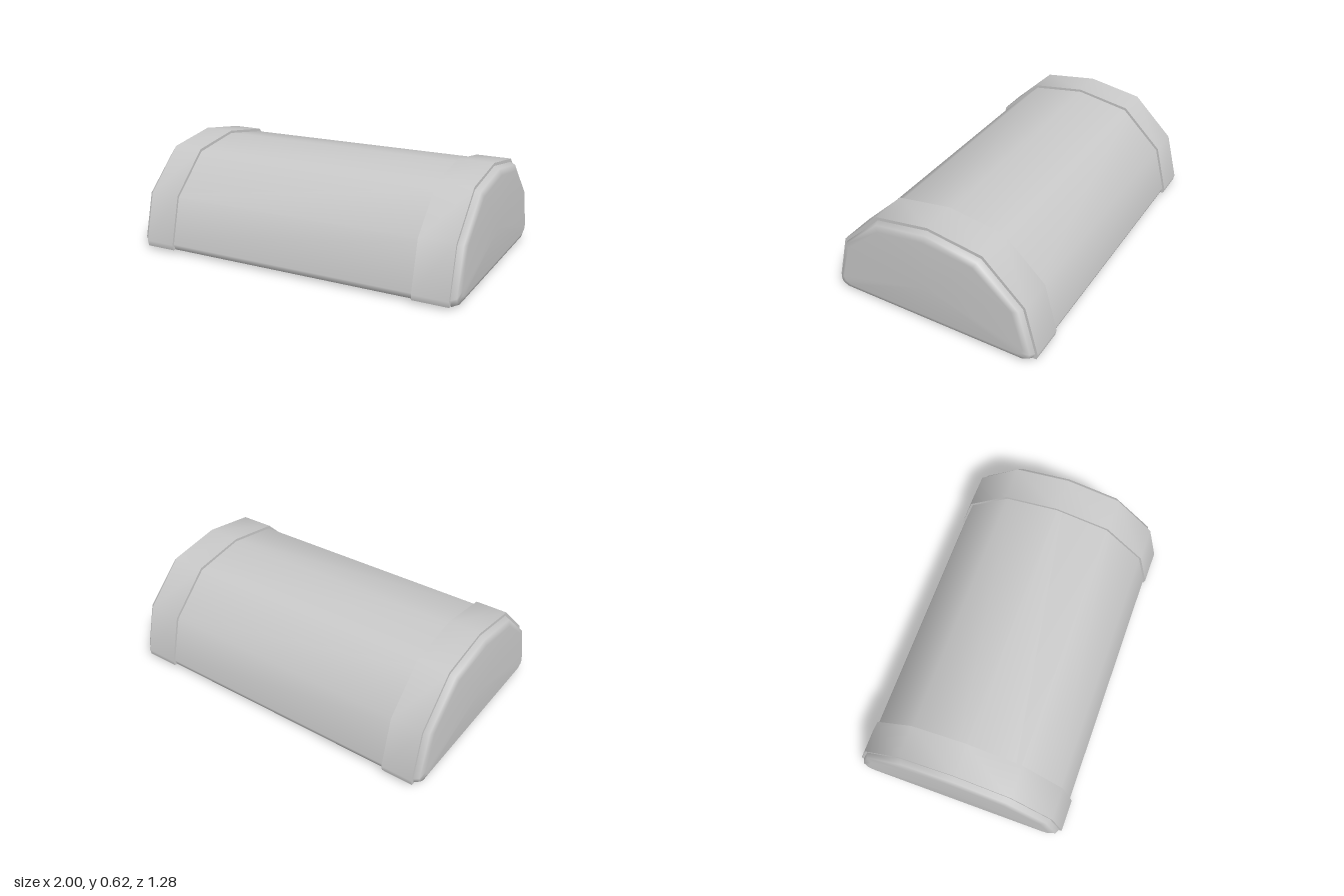
import * as THREE from 'three';
import { mergeVertices } from 'three/addons/utils/BufferGeometryUtils.js';

const HEIGHT = 0.6, HALF_DEPTH = 0.626;

// Mirror a half profile of [z, y] points, ending at the ridge, to the other side
const mirror = half => [...half, ...half.slice(0, -1).reverse().map(([z, y]) => [-z, y])];

const outer = mirror([[0.58, 0], [0.615, 0.018], [HALF_DEPTH, 0.05], [0.556, 0.322], [0.318, 0.549], [0, HEIGHT]]);
const inner = mirror([[0.505, 0], [0.435, 0.295], [0.275, 0.467], [0, 0.51]]);
const strap = mirror([[0.632, 0.016], [0.64, 0.05], [0.567, 0.332], [0.325, 0.565], [0, 0.615]]);
const strapInner = mirror([[0.61, 0.016], [0.62, 0.05], [0.55, 0.32], [0.315, 0.545], [0, 0.594]]);

// Cross-section at x, pulled in by k on every side
const section = (x, k) => outer.map(([z, y]) =>
  [x, k + y * (HEIGHT - 2 * k) / HEIGHT, z * (1 - k / HALF_DEPTH)]);

const quad = (out, a, b, c, d) => out.push(...a, ...b, ...c, ...a, ...c, ...d);

function smooth(positions) {
  const g = new THREE.BufferGeometry();
  g.setAttribute('position', new THREE.Float32BufferAttribute(positions, 3));
  const merged = mergeVertices(g);
  merged.computeVertexNormals();
  return merged;
}

// Outer skin: rounded ends, arched top and the flat rim around the opening
function skinGeometry() {
  const out = [];
  const rings = [[-1, 0.05], [-0.985, 0.015], [-0.95, 0], [0.95, 0], [0.985, 0.015], [1, 0.05]]
    .map(([x, k]) => section(x, k));
  const n = outer.length, last = rings.length - 1;
  for (let j = 0; j < n; j++) {
    const m = (j + 1) % n;
    for (let i = 0; i < last; i++) {
      if (i === 2 && j === n - 1) continue; // underside stays open
      quad(out, rings[i][j], rings[i + 1][j], rings[i + 1][m], rings[i][m]);
    }
    out.push(-1, 0.25, 0, ...rings[0][j], ...rings[0][m]);
    out.push(1, 0.25, 0, ...rings[last][m], ...rings[last][j]);
  }
  const corners = (x, z) => [[x, 0, z], [x, 0, -z], [-x, 0, -z], [-x, 0, z]];
  const a = corners(0.95, outer[0][0]), b = corners(0.87, inner[0][0]);
  for (let i = 0; i < 4; i++) {
    const m = (i + 1) % 4;
    quad(out, a[i], b[i], b[m], a[m]);
  }
  return smooth(out);
}

// Smooth sheet that carries a profile from x0 to x1
function sheetGeometry(profile, x0, x1) {
  const out = [];
  const at = (x, [z, y]) => [x, y, z];
  for (let j = 0; j < profile.length - 1; j++) {
    quad(out, at(x0, profile[j]), at(x1, profile[j]), at(x1, profile[j + 1]), at(x0, profile[j + 1]));
  }
  return smooth(out);
}

// Flat plate with the outline of a profile
const plateGeometry = profile =>
  new THREE.ShapeGeometry(new THREE.Shape(profile.map(([z, y]) => new THREE.Vector2(z, y))));

export function createModel() {
  const model = new THREE.Group();
  model.name = 'chestLid';
  const grey = new THREE.MeshStandardMaterial({ color: 0xc8c8c8 });
  grey.name = 'light grey';

  const add = (parent, name, geometry) => {
    const mesh = new THREE.Mesh(geometry, grey);
    mesh.name = name;
    parent.add(mesh);
    return mesh;
  };
  // Plate at x that faces +x (dir 1) or -x (dir -1)
  const addPlate = (parent, name, profile, x, dir) => {
    const plate = add(parent, name, plateGeometry(profile));
    plate.rotation.y = dir * Math.PI / 2;
    plate.position.x = x;
  };

  add(model, 'lidShell', skinGeometry());

  // Hollow inside: arched lining and two flat end walls
  add(model, 'lidLining', sheetGeometry([...inner].reverse(), -0.87, 0.87));
  addPlate(model, 'leftInnerWall', inner, 0.87, -1);
  addPlate(model, 'rightInnerWall', inner, -0.87, 1);

  // Straps wrapped over both ends: arched band, side edges and the two lower lips
  const strapEdge = [...strap, ...[...strapInner].reverse()];
  const end = strap.length - 1;
  for (const [name, x0, x1] of [['rightStrap', -0.955, -0.77], ['leftStrap', 0.75, 0.955]]) {
    const group = new THREE.Group();
    group.name = name;
    model.add(group);
    add(group, 'strapBand', sheetGeometry(strap, x0, x1));
    addPlate(group, 'strapEdge', strapEdge, x1, 1);
    addPlate(group, 'strapEdge', strapEdge, x0, -1);
    add(group, 'strapLip', sheetGeometry([strapInner[0], strap[0]], x0, x1));
    add(group, 'strapLip', sheetGeometry([strap[end], strapInner[end]], x0, x1));
  }
  return model;
}
